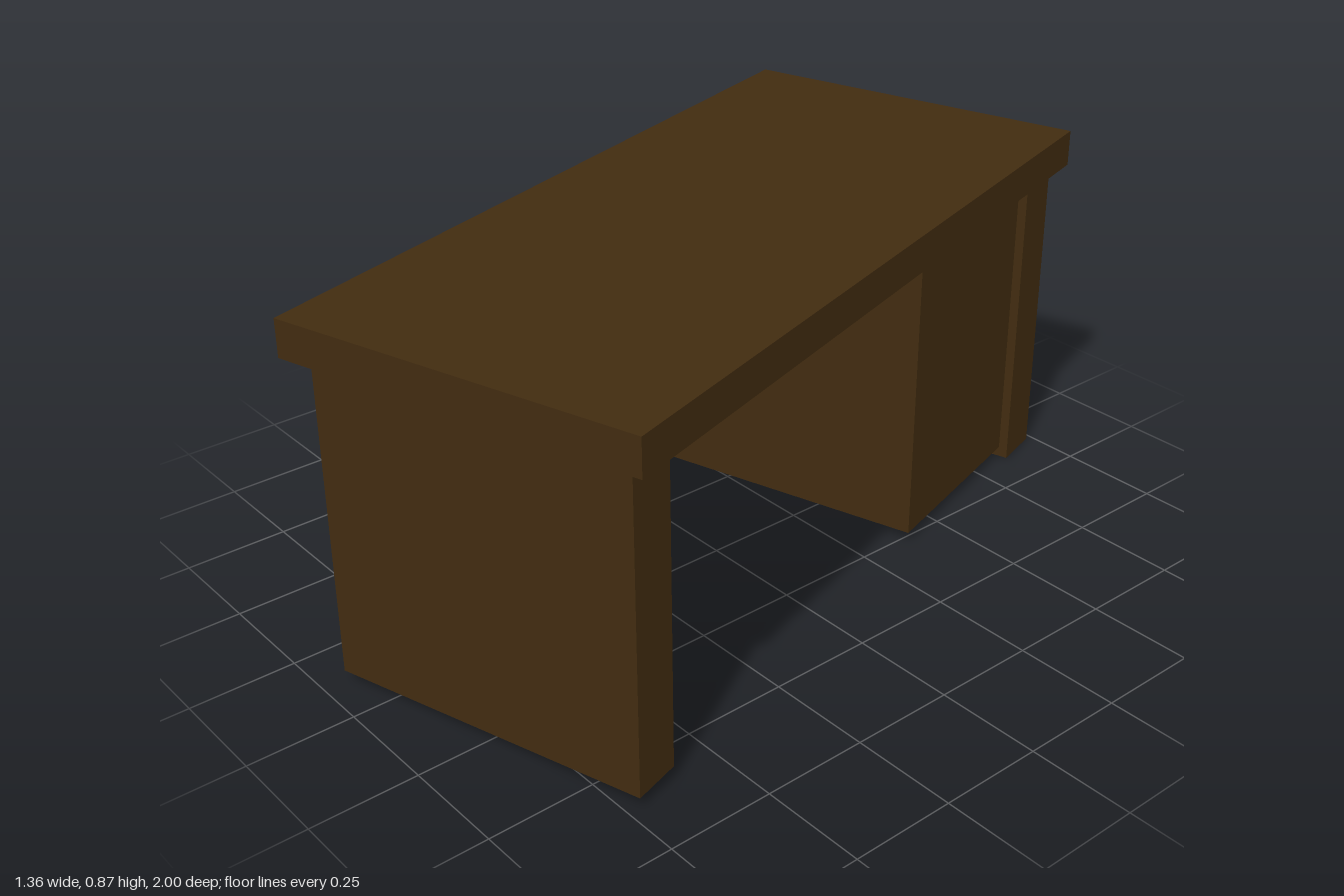
import * as THREE from 'three';

export function createModel() {
  const model = new THREE.Group();
  model.name = 'desk';

  const darkWood = new THREE.MeshStandardMaterial({ color: 0x422c10 });
  darkWood.name = 'dark wood';

  // The whole desk stands turned on the floor
  const desk = new THREE.Group();
  desk.name = 'turnedDesk';
  desk.rotation.y = THREE.MathUtils.degToRad(16.7);
  model.add(desk);

  // Board centred across the desk, given by its height and depth ranges
  function board(name, width, y0, y1, z0, z1) {
    const mesh = new THREE.Mesh(new THREE.BoxGeometry(width, y1 - y0, z1 - z0), darkWood);
    mesh.name = name;
    mesh.position.set(0, (y0 + y1) / 2, (z0 + z1) / 2);
    desk.add(mesh);
  }

  board('tableTop', 0.872, 0.783, 0.87, -0.911, 0.911);
  board('frontLegPanel', 0.775, 0.028, 0.783, 0.755, 0.873);
  board('backLegPanel', 0.78, 0, 0.783, -0.91, -0.787);
  board('drawerCabinet', 0.735, 0.026, 0.757, -0.787, -0.283);

  return model;
}
